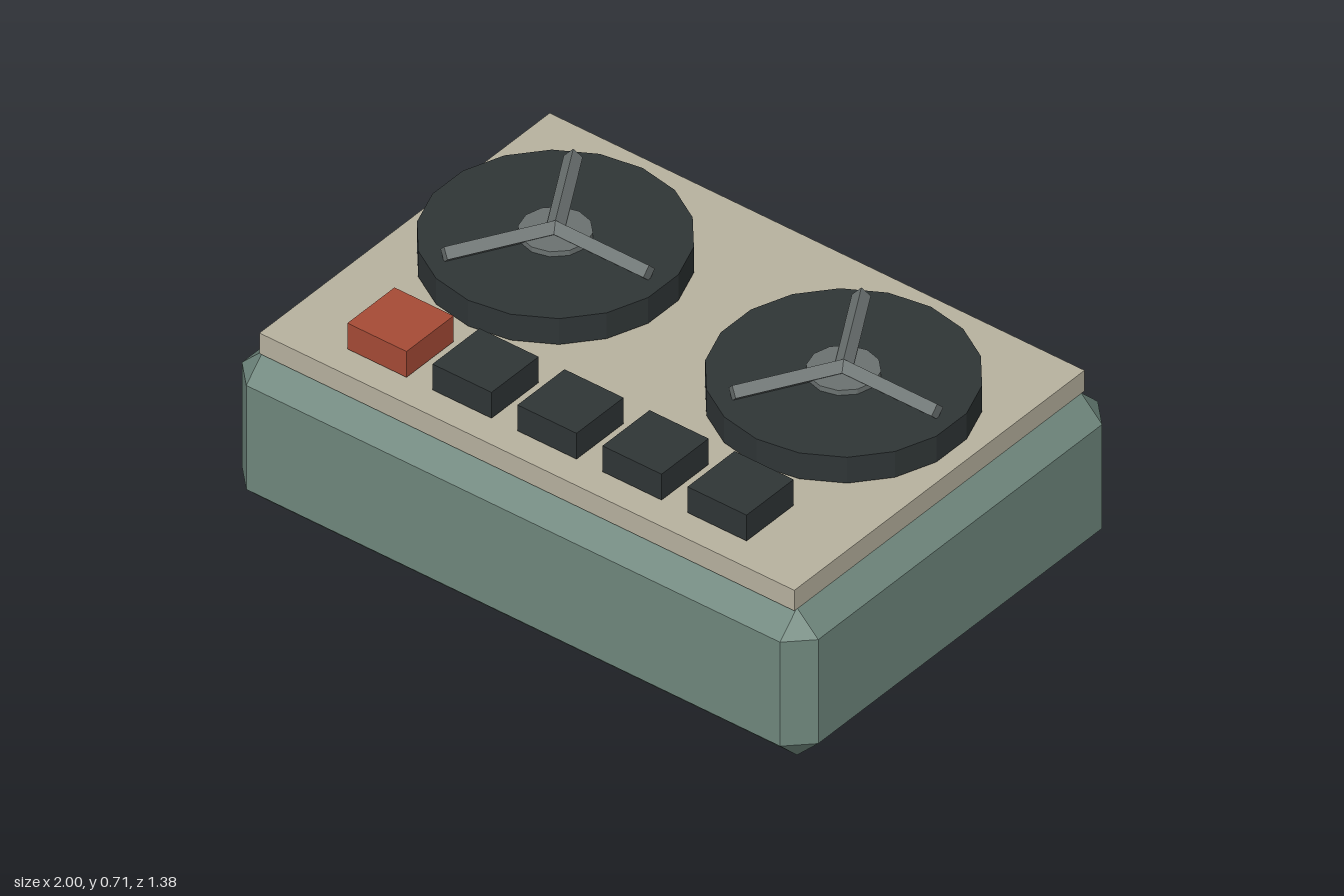
import * as THREE from 'three';
import { ConvexGeometry } from 'three/addons/geometries/ConvexGeometry.js';

const material = (color) => new THREE.MeshStandardMaterial({ color, flatShading: true });
const green = material(0x6f877d);
const cream = material(0xb8b29f);
const dark = material(0x2f3536);
const red = material(0xa64b36);
const metal = material(0x6b7271);

function addPart(parent, name, geometry, mat, x, y, z) {
  const mesh = new THREE.Mesh(geometry, mat);
  mesh.name = name;
  mesh.position.set(x, y, z);
  parent.add(mesh);
  return mesh;
}

// Box with every edge cut at 45 degrees and a triangle at each corner
function chamferedBox(w, h, d, c) {
  const points = [];
  for (const sx of [-1, 1]) for (const sy of [-1, 1]) for (const sz of [-1, 1]) {
    for (let axis = 0; axis < 3; axis++) {
      const inset = [c, c, c];
      inset[axis] = 0;
      points.push(new THREE.Vector3(
        sx * (w / 2 - inset[0]), sy * (h / 2 - inset[1]), sz * (d / 2 - inset[2])));
    }
  }
  return new ConvexGeometry(points);
}

// Flat reel with a hub and three diamond-section spokes
function makeReel(name, x) {
  const reel = new THREE.Group();
  reel.name = name;
  reel.position.set(x, 0, -0.12);
  addPart(reel, 'reelDisc', new THREE.CylinderGeometry(0.38, 0.38, 0.088, 18), dark, 0, 0.619, 0);
  addPart(reel, 'reelHub', new THREE.CylinderGeometry(0.103, 0.103, 0.04, 12), metal, 0, 0.66, 0);
  const length = 0.325;
  for (let i = 0; i < 3; i++) {
    const arm = new THREE.Group();
    arm.name = 'spokeArm';
    arm.rotation.y = i * Math.PI * 2 / 3;
    const spoke = addPart(arm, 'spoke', new THREE.CylinderGeometry(0.026, 0.026, length, 4), metal, length / 2, 0.684, 0);
    spoke.rotation.z = -Math.PI / 2;
    reel.add(arm);
  }
  return reel;
}

export function createModel() {
  const model = new THREE.Group();
  model.name = 'tapeRecorder';

  // Case and deck plate
  addPart(model, 'case', chamferedBox(2, 0.502, 1.384, 0.074), green, 0, 0.251, 0);
  addPart(model, 'deckPlate', new THREE.BoxGeometry(1.856, 0.07, 1.264), cream, 0, 0.535, 0);

  // Pair of reels
  model.add(makeReel('leftReel', 0.5), makeReel('rightReel', -0.5));

  // Row of keys, the record key in red
  for (let i = 0; i < 5; i++) {
    addPart(model, i === 0 ? 'recordKey' : 'key', new THREE.BoxGeometry(0.205, 0.088, 0.205),
      i === 0 ? red : dark, (i - 2) * 0.295, 0.619, 0.442);
  }
  return model;
}
